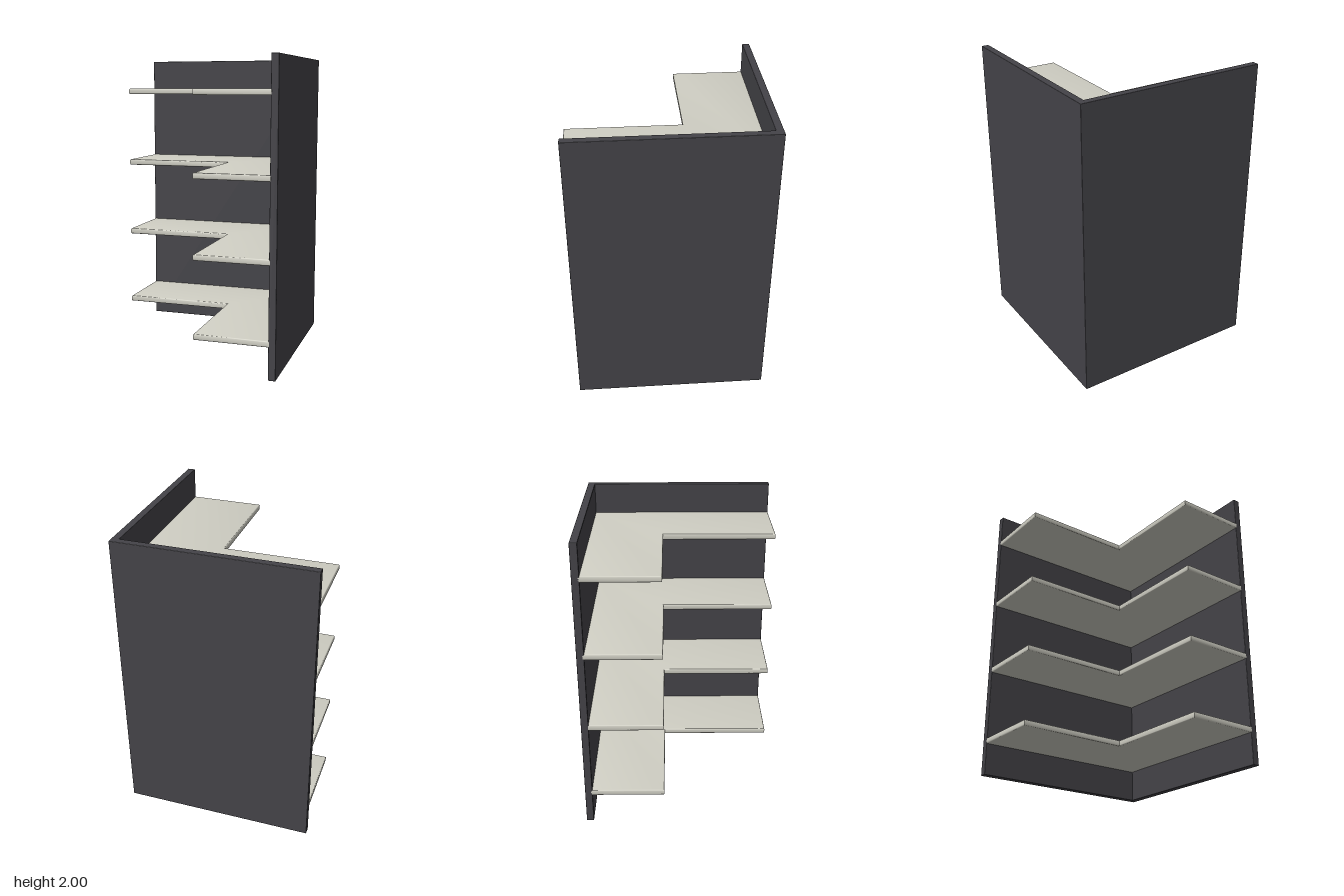
import * as THREE from 'three';
import { RoundedBoxGeometry } from 'three/addons/geometries/RoundedBoxGeometry.js';
import { toCreasedNormals } from 'three/addons/utils/BufferGeometryUtils.js';

const EDGE = 0.643;   // half of the footprint
const PANEL = 0.048;  // panel thickness
const SHELF = 0.04;   // shelf thickness
const BEVEL = 0.008;

export function createModel() {
  const group = new THREE.Group();
  const charcoal = new THREE.MeshStandardMaterial({ color: 0x444348 });
  charcoal.name = 'charcoal';
  const offWhite = new THREE.MeshStandardMaterial({ color: 0xd0cfc4 });
  offWhite.name = 'off white';

  const add = (name, geometry, material, x, y, z) => {
    const mesh = new THREE.Mesh(geometry, material);
    mesh.name = name;
    mesh.position.set(x, y, z);
    group.add(mesh);
  };

  // Two upright panels meeting at the back corner
  const wall = EDGE - PANEL / 2;
  add('backPanel', new RoundedBoxGeometry(2 * EDGE, 2, PANEL, 2, 0.003), charcoal, 0, 1, -wall);
  add('sidePanel', new RoundedBoxGeometry(PANEL, 2, 2 * EDGE, 2, 0.003), charcoal, wall, 1, 0);

  // L-shaped shelf outline as [x, z], let slightly into both panels
  const outline = [
    [-EDGE, -0.11], [0.105, -0.11], [0.105, EDGE],
    [0.6, EDGE + 0.001], [0.6, -0.605], [-EDGE, -0.605],
  ];
  const shape = new THREE.Shape(outline.map(([x, z]) => new THREE.Vector2(x, -z)));
  const extruded = new THREE.ExtrudeGeometry(shape, {
    depth: SHELF - 2 * BEVEL, bevelEnabled: true, bevelThickness: BEVEL,
    bevelSize: BEVEL, bevelOffset: -BEVEL, bevelSegments: 3,
  });
  extruded.translate(0, 0, BEVEL - SHELF / 2);
  extruded.rotateX(-Math.PI / 2);
  const shelf = toCreasedNormals(extruded, 0.7);

  // Four evenly spaced shelves
  for (let i = 0; i < 4; i++) add(`shelf${i + 1}`, shelf, offWhite, 0, 0.232 + i * 0.514, 0);

  return group;
}
